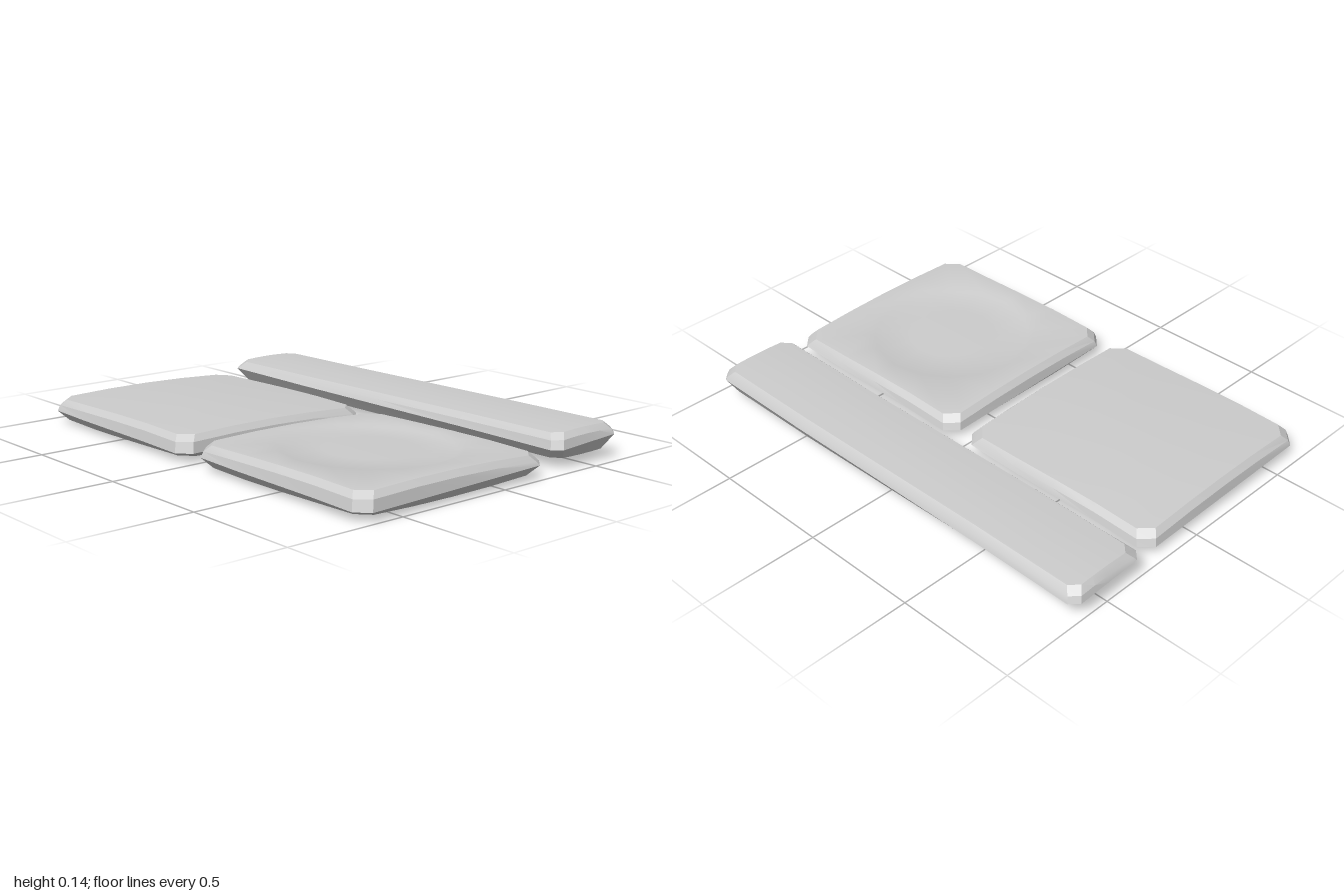
import * as THREE from 'three';
import { toCreasedNormals } from 'three/addons/utils/BufferGeometryUtils.js';

const STEPS = 4; // segments along each straight edge

// Rectangle with cut corners, running from +x towards +z
function outline(hx, hz, cut) {
  const edges = [
    [hx, -hz + cut, hx, hz - cut], [hx - cut, hz, -hx + cut, hz],
    [-hx, hz - cut, -hx, -hz + cut], [-hx + cut, -hz, hx - cut, -hz],
  ];
  const points = [];
  for (const [x0, z0, x1, z1] of edges) {
    for (let i = 0; i <= STEPS; i++) {
      const t = i / STEPS;
      points.push([x0 + (x1 - x0) * t, z0 + (z1 - z0) * t]);
    }
  }
  return points;
}

// Skins closed rings ordered from the bottom centre to the top centre
function skin(rings) {
  const n = rings[0].length;
  const indices = [];
  for (let r = 0; r < rings.length - 1; r++) {
    for (let i = 0; i < n; i++) {
      const j = (i + 1) % n;
      const a = r * n + i, b = r * n + j, c = b + n, d = a + n;
      if (r < rings.length - 2) indices.push(a, d, c);
      else indices.push(a, d, b);
      if (r > 0 && r < rings.length - 2) indices.push(a, c, b);
    }
  }
  const geometry = new THREE.BufferGeometry();
  geometry.setAttribute('position', new THREE.Float32BufferAttribute(rings.flat(2), 3));
  geometry.setIndex(indices);
  return toCreasedNormals(geometry, 0.45);
}

// Worn stone: domed top and bottom, rounded rim, slightly wavy sides
function slab({ x, z, hx, hz, cut, top, bottom, mid, wave, dish }) {
  const ring = (inset, scale, height) =>
    outline(hx - inset, hz - inset, cut).map(([px, pz]) => {
      const sx = px * scale, sz = pz * scale;
      return [x + sx + wave(sz / hz) * scale, height(sx / hx, sz / hz), z + sz];
    });
  const shoulder = (u, v) => top(u, v) - 0.022;
  const rings = [
    ring(0.035, 0, bottom), ring(0.035, 0.5, bottom), ring(0.035, 1, bottom),
    ring(0, 1, (u, v) => mid + 0.01 * u * v),
    ring(0.008, 1, shoulder), ring(0.03, 1, top),
  ];
  if (dish) {
    // Round hollow sunk into the top
    for (const [radius, depth] of [[dish.r, 0], [dish.r - 0.025, 0.011], [dish.r * 0.5, 0.015], [0, 0.013]]) {
      rings.push(outline(hx, hz, cut).map(([px, pz]) => {
        const angle = Math.atan2(pz, px);
        const dx = Math.cos(angle) * radius + dish.x, dz = Math.sin(angle) * radius + dish.z;
        return [x + dx, top(dx / hx, dz / hz) - depth, z + dz];
      }));
    }
  } else {
    rings.push(ring(0.03, 0.75, top), ring(0.03, 0.4, top), ring(0.03, 0, top));
  }
  return skin(rings);
}

export function createModel() {
  const group = new THREE.Group();
  const material = new THREE.MeshStandardMaterial({ color: 0xcccccc });
  const add = (name, options) => {
    const mesh = new THREE.Mesh(slab(options), material);
    mesh.name = name;
    group.add(mesh);
  };

  // Two square slabs, one behind the other
  const square = {
    x: -0.217, hx: 0.46, cut: 0.05, mid: 0.048,
    top: (u, v) => 0.117 - 0.015 * u * u - 0.007 * u - 0.008 * v * v,
    bottom: (u, v) => 0.003 + 0.012 * u * u + 0.008 * v * v,
    wave: (v) => 0.004 * Math.sin(v * 3),
  };
  add('rearSquareSlab', { ...square, z: -0.49, hz: 0.472 });
  add('frontSquareSlab', { ...square, z: 0.52, hz: 0.47, dish: { x: 0, z: 0, r: 0.355 } });

  // Long narrow slab along the left side
  add('longSlab', {
    x: 0.495, z: -0.017, hx: 0.18, hz: 0.983, cut: 0.035, mid: 0.09,
    top: (u, v) => 0.14 - 0.008 * u * u + 0.005 * v,
    bottom: (u, v) => 0.037 + 0.006 * u * u - 0.004 * v + 0.004 * v * v,
    wave: (v) => 0.006 * Math.sin(v * 2.5),
  });
  return group;
}
